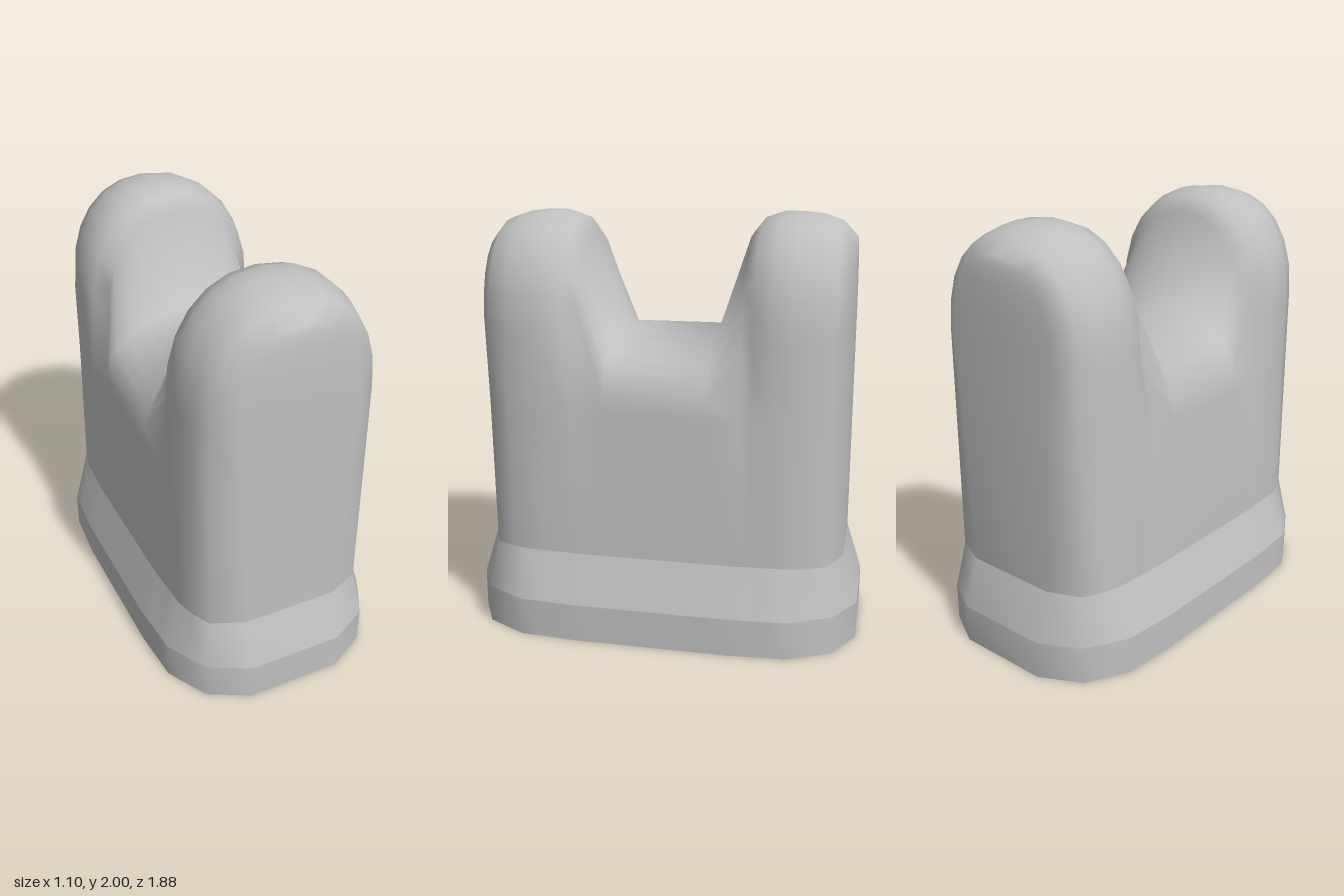
import * as THREE from 'three';

// Slices from the front end to the middle:
// z, x at foot, x at mid height, x where the arch springs, spring y, crown y, arch power, foot-ring x, foot-ring z
const HALF = [
  [0.865, 0.23, 0.26, 0.29, 1.50, 1.89, 2.2, 0.23, 0.94],
  [0.80, 0.385, 0.385, 0.385, 1.48, 1.96, 2.25, 0.42, 0.84],
  [0.71, 0.43, 0.42, 0.42, 1.45, 1.99, 2.25, 0.48, 0.735],
  [0.62, 0.455, 0.445, 0.44, 1.45, 2.0, 2.25, 0.53, 0.64],
  [0.53, 0.46, 0.45, 0.44, 1.45, 2.0, 2.25, 0.537, 0.54],
  [0.44, 0.465, 0.45, 0.42, 1.43, 1.97, 2.25, 0.545, 0.44],
  [0.385, 0.47, 0.45, 0.365, 1.40, 1.90, 2.2, 0.55, 0.37],
  [0.24, 0.47, 0.455, 0.44, 1.17, 1.46, 2, 0.55, 0.24],
];
const SLICES = [...HALF, ...HALF.map((s) => [-s[0], ...s.slice(1, 8), -s[8]]).reverse()];
const ARCH = 12;

// Arched section running from the +x foot over the crown to the -x foot
function sliceProfile([z, foot, mid, spring, springY, crownY, power]) {
  const pts = [[foot, 0.41, z], [mid, 1.1, z]];
  for (let i = 0; i <= ARCH; i++) {
    const a = (i / ARCH) * Math.PI;
    const c = Math.cos(a), s = Math.max(0, Math.sin(a));
    pts.push([
      spring * Math.sign(c) * Math.abs(c) ** (2 / power),
      springY + (crownY - springY) * s ** (2 / power), z]);
  }
  pts.push([-mid, 1.1, z], [-foot, 0.41, z]);
  return pts;
}

function toGeometry(points, index) {
  const g = new THREE.BufferGeometry();
  g.setAttribute('position', new THREE.Float32BufferAttribute(points.flat(), 3));
  g.setIndex(index);
  g.computeVertexNormals();
  return g;
}

// Twin-domed body with a saddle, open underneath
function bodyGeometry() {
  const rows = SLICES.map(sliceProfile);
  const n = rows[0].length, index = [];
  for (let r = 0; r < rows.length - 1; r++) {
    for (let i = 0; i < n - 1; i++) {
      const a = r * n + i, b = a + n;
      index.push(a, b, a + 1, a + 1, b, b + 1);
    }
  }
  // End faces, laddered between the two sides of each arch
  const last = (rows.length - 1) * n;
  for (let i = 0; i < (n - 1) / 2; i++) {
    const j = n - 1 - i;
    index.push(i, i + 1, j, last + i, last + j, last + i + 1);
    if (j - 1 > i + 1) index.push(i + 1, j - 1, j, last + i + 1, last + j, last + j - 1);
  }
  return toGeometry(rows.flat(), index);
}

// Closed plan outline at a given height, for the top or the foot of the skirt
function outline(xCol, zCol, y) {
  const right = SLICES.map((s) => [s[xCol], y, s[zCol]]);
  return [...right, ...right.map(([x, h, z]) => [-x, h, z]).reverse()];
}

// Band between two outlines
function bandGeometry(lower, upper) {
  const n = lower.length, index = [];
  for (let i = 0; i < n; i++) {
    const j = (i + 1) % n;
    index.push(i, j, n + i, n + i, j, n + j);
  }
  return toGeometry([...lower, ...upper], index);
}

export function createModel() {
  const group = new THREE.Group();
  group.name = 'saddleBlock';
  const grey = new THREE.MeshStandardMaterial({ color: 0xc0c0c0, side: THREE.DoubleSide });
  grey.name = 'light grey';
  const add = (name, geometry) => {
    const mesh = new THREE.Mesh(geometry, grey);
    mesh.name = name;
    group.add(mesh);
  };
  add('domedBody', bodyGeometry());
  add('slopedSkirt', bandGeometry(outline(7, 8, 0.18), outline(1, 0, 0.41)));
  add('footRing', bandGeometry(outline(7, 8, 0), outline(7, 8, 0.18)));
  return group;
}
